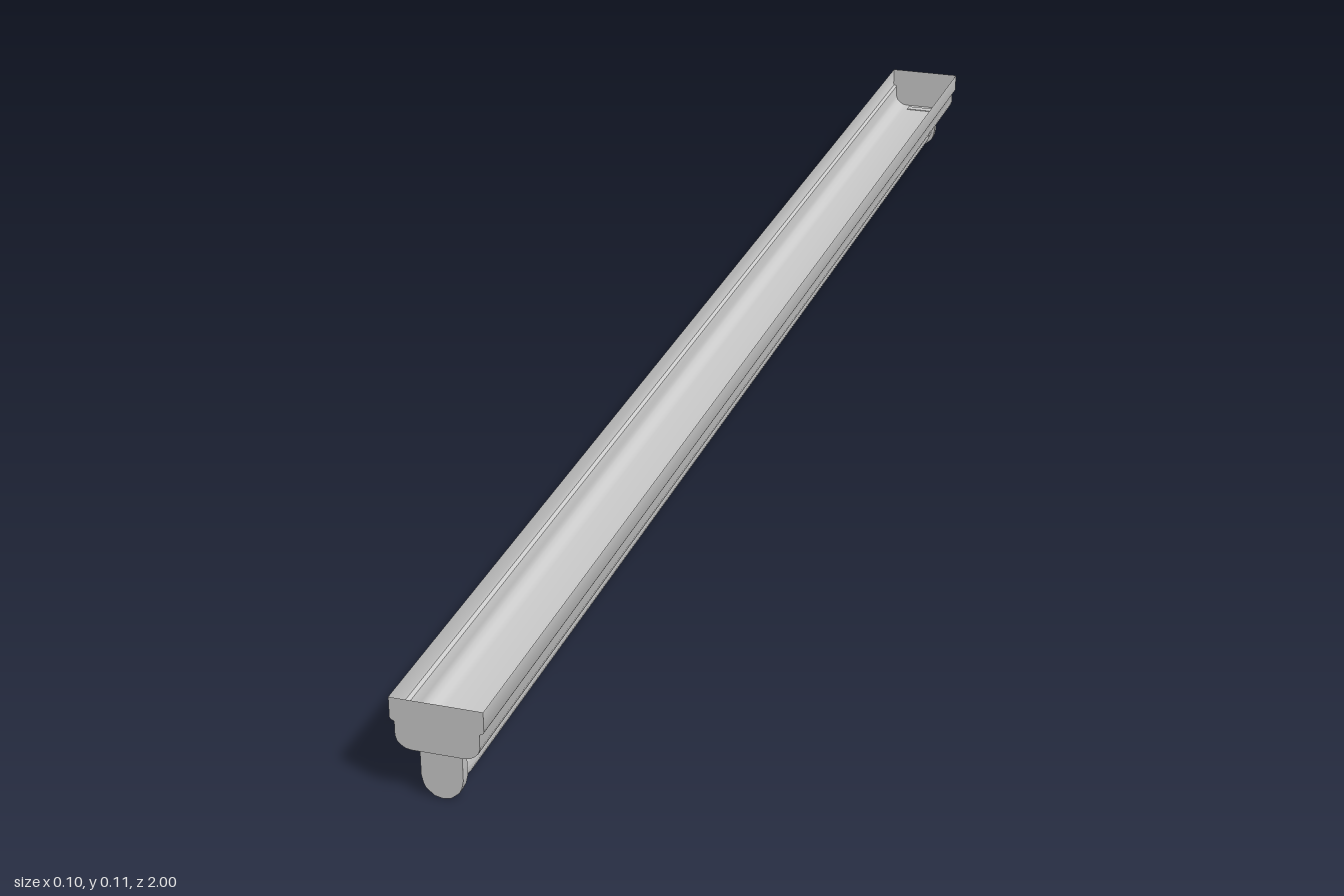
import * as THREE from 'three';
import { toCreasedNormals } from 'three/addons/utils/BufferGeometryUtils.js';

const HALF = 1; // half the length of the fitting
const TUBE_Y = 0.025;

function part(name, geometry) {
  const material = new THREE.MeshStandardMaterial({ color: 0xcccccc, side: THREE.DoubleSide });
  const mesh = new THREE.Mesh(toCreasedNormals(geometry, 0.6), material);
  mesh.name = name;
  return mesh;
}

// Sheet swept along z from an open cross-section
function sweepSheet(points, half) {
  const pos = [], index = [];
  points.forEach((p, i) => {
    pos.push(p.x, p.y, half, p.x, p.y, -half);
    if (i) {
      const a = 2 * (i - 1);
      index.push(a, a + 2, a + 1, a + 1, a + 2, a + 3);
    }
  });
  const g = new THREE.BufferGeometry();
  g.setAttribute('position', new THREE.Float32BufferAttribute(pos, 3));
  g.setIndex(index);
  g.computeVertexNormals();
  return g;
}

// Mirrors the right half of an outline (top to bottom) into a full one
function mirrored(half) {
  const right = half.map(([x, y]) => new THREE.Vector2(x, y));
  const left = right.filter(p => p.x > 0).map(p => new THREE.Vector2(-p.x, p.y)).reverse();
  return [...left.reverse(), ...right.filter(p => p.x === 0), ...right.reverse().filter(p => p.x > 0)];
}

export function createModel() {
  const group = new THREE.Group();

  // Open-topped housing with a stepped lip and rounded lower edges
  const section = mirrored([
    [0.05, 0.113], [0.05, 0.09], [0.049, 0.088], [0.045, 0.086], [0.045, 0.07],
    [0.043, 0.064], [0.039, 0.06], [0.034, 0.057], [0.028, 0.056],
  ]);
  group.add(part('housing', sweepSheet(section, HALF)));

  // Fluorescent tube with stepped end caps
  const tubeHalf = [
    [0.0001, 0.978], [0.016, 0.978], [0.016, 0.97], [0.0175, 0.967], [0.0195, 0.958],
  ];
  const profile = [
    ...tubeHalf.map(([r, z]) => new THREE.Vector2(r, -z)),
    ...tubeHalf.slice().reverse().map(([r, z]) => new THREE.Vector2(r, z)),
  ];
  const tube = part('lampTube', new THREE.LatheGeometry(profile, 24).rotateX(Math.PI / 2));
  tube.position.y = TUBE_Y;
  group.add(tube);

  // End plates, lamp holders and sockets, the same at both ends
  const holderShape = new THREE.Shape(mirrored([
    [0.0225, 0.057], [0.0225, 0.024], [0.0205, 0.015], [0.018, 0.0095], [0.009, 0.002], [0, 0],
  ]));
  for (const [name, turn] of [['front', 0], ['back', Math.PI]]) {
    const end = new THREE.Group();
    end.name = name + 'End';
    end.rotation.y = turn;

    const plate = part('endPlate', new THREE.ShapeGeometry(new THREE.Shape(section)));
    plate.position.z = HALF;

    const holder = part('lampHolder',
      new THREE.ExtrudeGeometry(holderShape, { depth: 0.012, bevelEnabled: false }));
    holder.position.z = 0.98;

    const socket = part('socket', new THREE.CylinderGeometry(0.018, 0.0165, 0.008, 20).rotateX(Math.PI / 2));
    socket.position.set(0, TUBE_Y, 0.977);

    end.add(plate, holder, socket);
    group.add(end);
  }
  return group;
}
